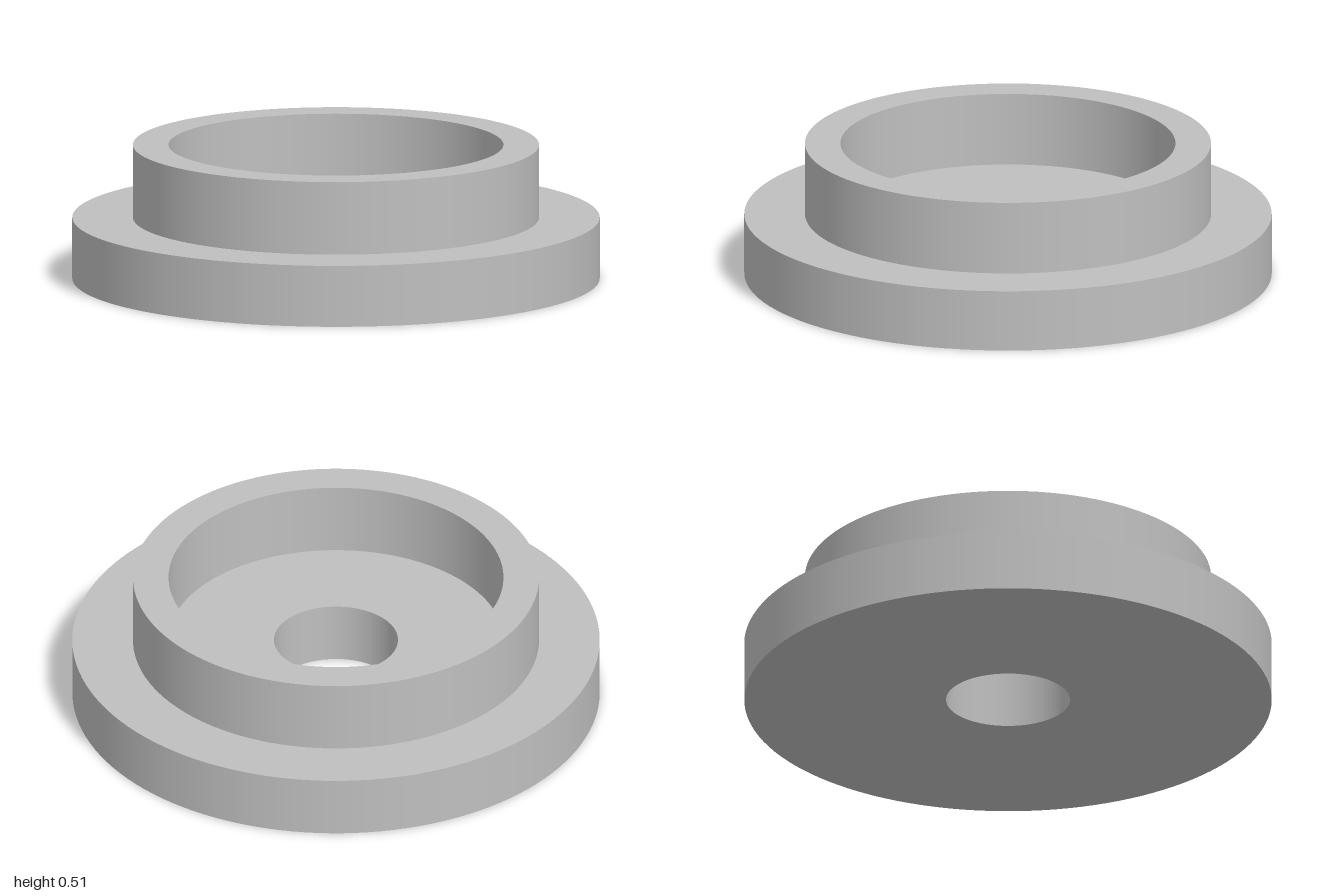
import * as THREE from 'three';
import { mergeGeometries } from 'three/addons/utils/BufferGeometryUtils.js';

const SEGMENTS = 128;

// Revolve each profile edge on its own so corners stay sharp and walls stay smooth
function turned(name, profile, material) {
  const bands = [];
  for (let i = 0; i < profile.length - 1; i++) {
    const edge = [profile[i], profile[i + 1]].map(([r, y]) => new THREE.Vector2(r, y));
    bands.push(new THREE.LatheGeometry(edge, SEGMENTS));
  }
  const mesh = new THREE.Mesh(mergeGeometries(bands), material);
  mesh.name = name;
  return mesh;
}

export function createModel() {
  const metal = new THREE.MeshStandardMaterial({ color: 0xbfbfbf });
  metal.name = 'grey metal';

  const boreR = 0.235, flangeR = 1, collarR = 0.77, recessR = 0.635;
  const flangeY = 0.235, topY = 0.515;

  const group = new THREE.Group();
  group.name = 'flangedCollar';
  group.add(
    // Wide base disc: underside, rim and exposed shoulder
    turned('flange', [[boreR, 0], [flangeR, 0], [flangeR, flangeY], [collarR, flangeY]], metal),
    // Raised ring: outer wall, top and inner wall
    turned('collar', [[collarR, flangeY], [collarR, topY], [recessR, topY], [recessR, flangeY]], metal),
    // Recess floor and through hole
    turned('recessFloorAndBore', [[recessR, flangeY], [boreR, flangeY], [boreR, 0]], metal)
  );
  return group;
}
